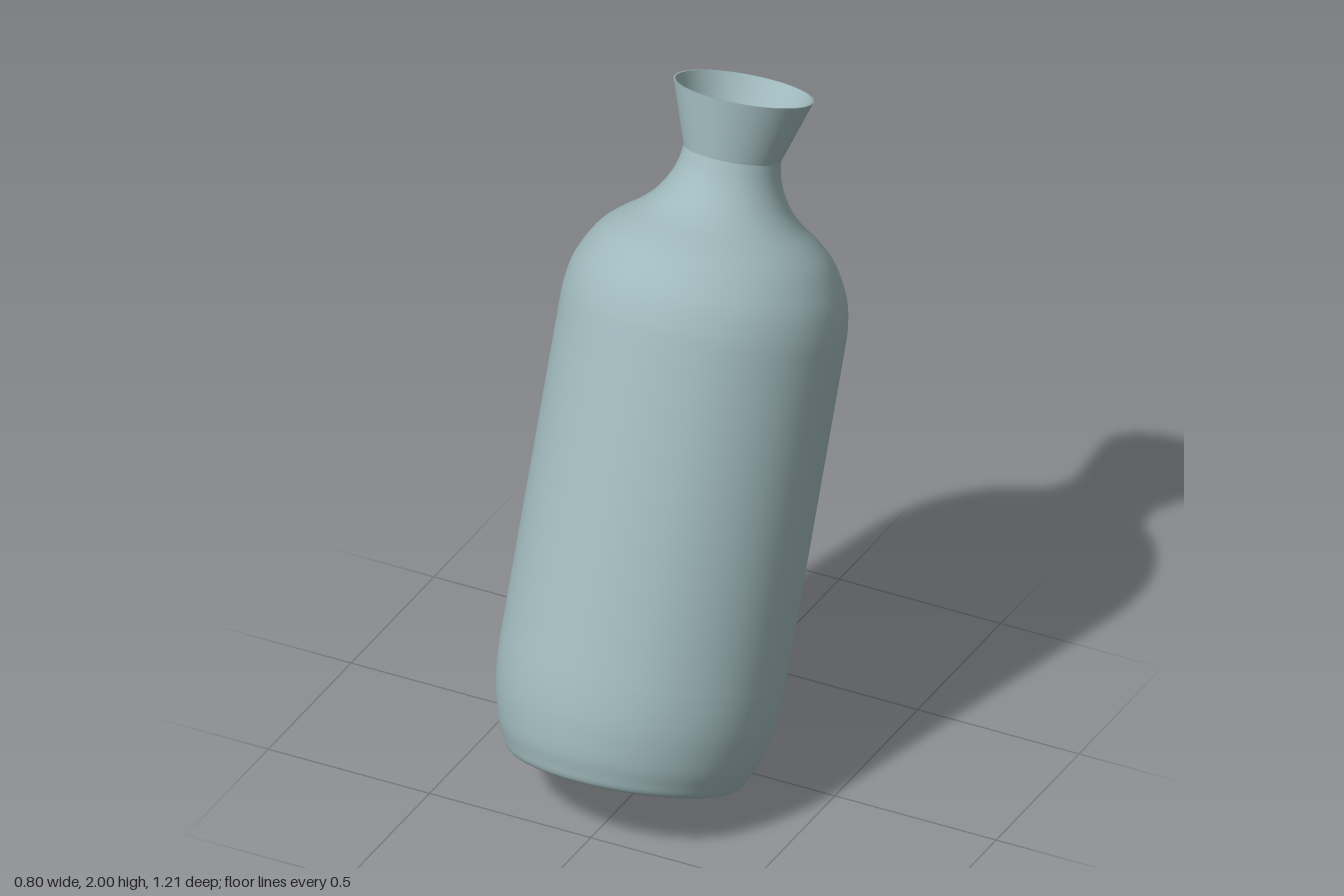
import * as THREE from 'three';

const TILT = Math.atan2(0.7225, 1.8075);
const WALL = 0.006;
const SIDES = 72;

const v = (r, y) => new THREE.Vector2(r, y);
const smooth = (pts, n) => new THREE.SplineCurve(pts.map(([r, y]) => v(r, y))).getPoints(n);

export function createModel() {
  const glass = new THREE.MeshStandardMaterial({ color: 0x9fb8bb, side: THREE.DoubleSide });
  glass.name = 'grey blue glass';

  const bottle = new THREE.Group();
  bottle.name = 'tiltedBottle';
  const addLathe = (name, points) => {
    const mesh = new THREE.Mesh(new THREE.LatheGeometry(points, SIDES), glass);
    mesh.name = name;
    bottle.add(mesh);
  };

  // Body profile: rounded foot, straight side, domed shoulder and narrow neck
  const foot = smooth([[0.305, 0], [0.322, 0.004], [0.334, 0.015], [0.345, 0.037],
    [0.367, 0.087], [0.388, 0.17], [0.397, 0.24], [0.4, 0.31]], 36);
  const shoulder = smooth([[0.4, 1.27], [0.398, 1.33], [0.385, 1.4], [0.358, 1.46],
    [0.325, 1.51], [0.282, 1.549], [0.23, 1.587], [0.19, 1.628],
    [0.161, 1.675], [0.144, 1.72], [0.136, 1.768]], 56);
  addLathe('base', [v(0, 0), v(0.305, 0)]);
  addLathe('body', [...foot, v(0.4, 0.6), v(0.4, 0.95), ...shoulder]);

  // Inner lip of the neck
  addLathe('neckLip', [v(0.136, 1.768), v(0.136 - WALL, 1.768)]);
  addLathe('neckInside', [v(0.13, 1.768), v(0.138, 1.72), v(0.155, 1.675)]);

  // Flared mouth with a thin rim
  addLathe('mouthOutside', [v(0.137, 1.766), v(0.197, 1.947)]);
  addLathe('mouthRim', [v(0.197, 1.947), v(0.197 - WALL, 1.947)]);
  addLathe('mouthInside', [v(0.197 - WALL, 1.947), v(0.137 - WALL, 1.766)]);

  // Lean back, resting on the rear edge of the base
  bottle.rotation.x = -TILT;
  bottle.position.set(0, 0.119, 0.3);

  const model = new THREE.Group();
  model.name = 'bottle';
  model.add(bottle);
  return model;
}
